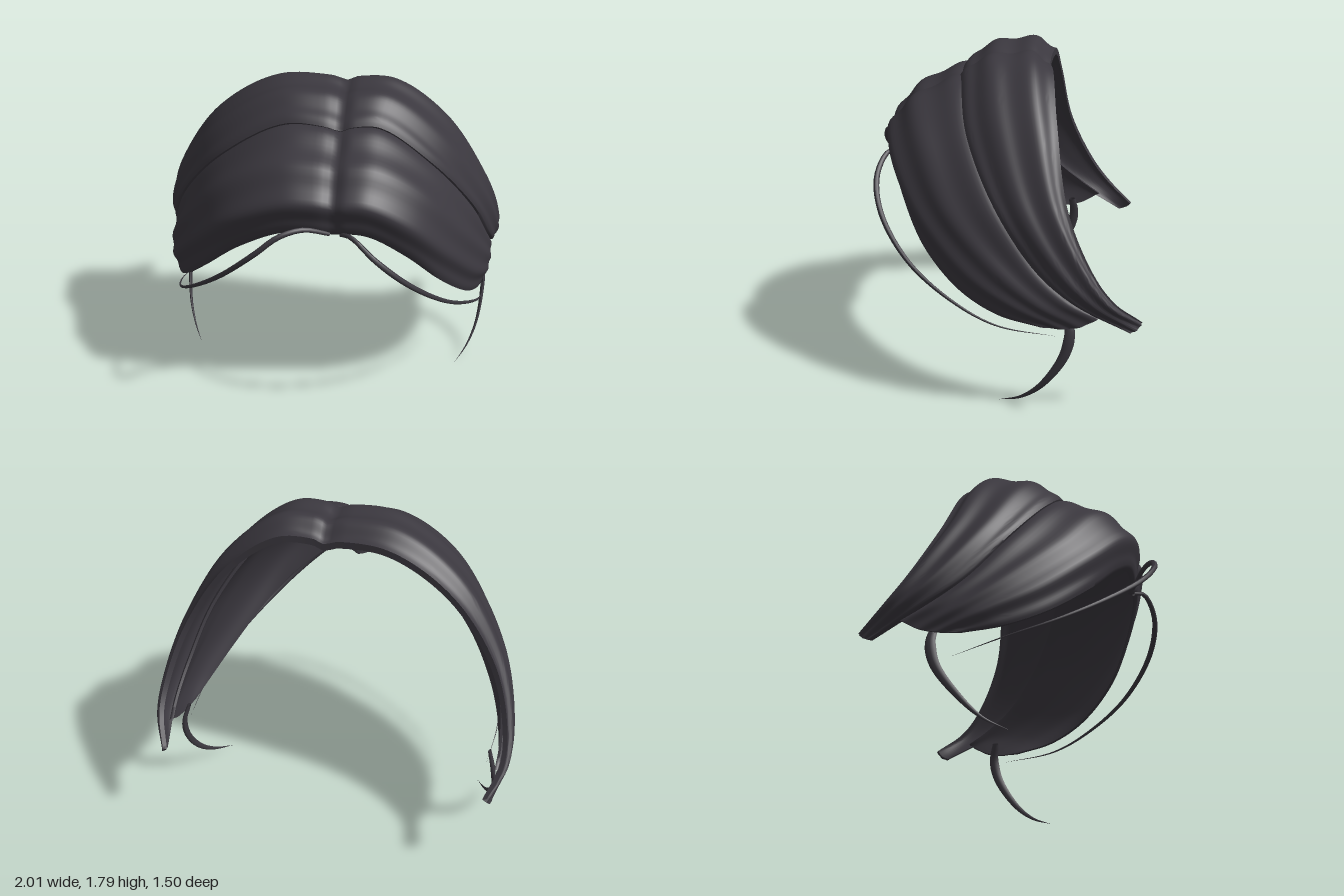
import * as THREE from 'three';
import { toCreasedNormals } from 'three/addons/utils/BufferGeometryUtils.js';

const material = new THREE.MeshStandardMaterial({ color: 0x3b383f, side: THREE.DoubleSide });
const core = new THREE.Vector3(0, 0.6, -0.25);

// Shift the middle of the hair so that the parting lies at x = 0.1
const shiftX = (x) => x + 0.1 * Math.max(0, 1 - Math.abs(x)) ** 2;

// A rail runs over the head from tip to tip; only the +x half is listed
function makeRail(half) {
  const left = half.map(([x, y, z]) => new THREE.Vector3(x, y, z));
  const right = left.slice(1).reverse().map((p) => new THREE.Vector3(-p.x, p.y, p.z));
  return new THREE.CatmullRomCurve3([...right, ...left]);
}

// Closed shell lofted through the rails: rippled outside, smooth inside
function makePanel(name, rails, waves, thickness) {
  const NU = 120, NV = 40, ring = 2 * (NV + 1);
  const curves = rails.map(makeRail);
  const positions = [], index = [];
  for (let i = 0; i <= NU; i++) {
    const t = i / NU, side = Math.abs(2 * t - 1);
    const section = new THREE.CatmullRomCurve3(curves.map((c) => c.getPoint(t)));
    const outer = [], inner = [];
    for (let j = 0; j <= NV; j++) {
      const v = j / NV, p = section.getPoint(v);
      const out = p.clone().sub(core);
      out.x *= 0.8;
      out.normalize();
      const groove = 0.024 * Math.exp(-((p.x / 0.04) ** 2));
      const ripple = 0.01 * Math.sin(v * waves * Math.PI * 2 + 0.6) * (1 - 0.7 * side);
      const depth = thickness * (1 - 0.4 * side);
      p.x = shiftX(p.x);
      outer.push(p.clone().addScaledVector(out, ripple - groove));
      inner.push(p.clone().addScaledVector(out, -depth - groove));
    }
    for (const p of [...outer, ...inner.reverse()]) positions.push(p.x, p.y, p.z);
  }
  for (let i = 0; i < NU; i++) {
    for (let j = 0; j < ring; j++) {
      const k = (j + 1) % ring;
      const a = i * ring + j, b = a + ring, c = i * ring + k, d = c + ring;
      index.push(a, b, c, b, d, c);
    }
  }
  // Close both tips
  for (let j = 0; j < NV; j++) {
    const m = ring - 1 - j, e = NU * ring;
    index.push(j, j + 1, m, j + 1, m - 1, m);
    index.push(e + j, e + m, e + j + 1, e + j + 1, e + m, e + m - 1);
  }
  const geometry = new THREE.BufferGeometry();
  geometry.setAttribute('position', new THREE.Float32BufferAttribute(positions, 3));
  geometry.setIndex(index);
  const mesh = new THREE.Mesh(toCreasedNormals(geometry, 0.9), material);
  mesh.name = name;
  return mesh;
}

// Loose strand: a tube that narrows to a point, flattened along x
function makeStrand(name, points, radius, flat) {
  const N = 48, R = 8;
  const curve = new THREE.CatmullRomCurve3(points.map((p) => new THREE.Vector3(...p)));
  const geometry = new THREE.TubeGeometry(curve, N, radius, R);
  const pos = geometry.attributes.position, p = new THREE.Vector3();
  for (let i = 0; i <= N; i++) {
    const t = i / N, centre = curve.getPointAt(t);
    const taper = Math.max(0.02, Math.min(1, 0.6 + 2 * t) * (1 - t ** 1.4));
    for (let j = 0; j <= R; j++) {
      const k = i * (R + 1) + j;
      p.fromBufferAttribute(pos, k).sub(centre).multiplyScalar(taper);
      p.x *= flat;
      p.add(centre);
      pos.setXYZ(k, p.x, p.y, p.z);
    }
  }
  geometry.computeVertexNormals();
  const mesh = new THREE.Mesh(geometry, material);
  mesh.name = name;
  return mesh;
}

export function createModel() {
  const group = new THREE.Group();
  group.name = 'hairpiece';

  // Front panel, from the forehead edge back to a strip tucked under the back panel
  group.add(makePanel('frontHairPanel', [
    [[0, 1.21, 0.6], [0.22, 1.2, 0.595], [0.45, 1.06, 0.53], [0.65, 0.855, 0.41], [0.8, 0.665, 0.21], [0.88, 0.56, 0], [0.92, 0.515, -0.22]],
    [[0, 1.37, 0.635], [0.22, 1.37, 0.635], [0.47, 1.24, 0.575], [0.69, 1.01, 0.42], [0.86, 0.76, 0.16], [0.935, 0.615, -0.1], [0.94, 0.515, -0.33]],
    [[0, 1.54, 0.49], [0.25, 1.54, 0.48], [0.53, 1.38, 0.41], [0.76, 1.09, 0.26], [0.905, 0.82, 0], [0.955, 0.65, -0.22], [0.95, 0.535, -0.43]],
    [[0, 1.645, 0.25], [0.25, 1.645, 0.23], [0.565, 1.43, 0.17], [0.81, 1.11, 0.02], [0.92, 0.82, -0.19], [0.955, 0.665, -0.37], [0.95, 0.585, -0.52]],
    [[0, 1.65, 0.17], [0.25, 1.65, 0.15], [0.57, 1.44, 0.09], [0.81, 1.12, -0.06], [0.915, 0.83, -0.26], [0.94, 0.68, -0.43], [0.935, 0.6, -0.54]],
  ], 4.5, 0.025));

  // Back panel, overlapping the front one and ending in pointed side tips
  group.add(makePanel('backHairPanel', [
    [[0, 1.645, 0.25], [0.25, 1.65, 0.23], [0.57, 1.435, 0.18], [0.815, 1.12, 0.02], [0.928, 0.82, -0.2], [0.965, 0.66, -0.4], [0.93, 0.5, -0.68]],
    [[0, 1.735, 0.15], [0.27, 1.735, 0.14], [0.6, 1.5, 0.1], [0.86, 1.13, -0.06], [0.97, 0.83, -0.28], [0.985, 0.66, -0.46], [0.93, 0.505, -0.7]],
    [[0, 1.775, 0], [0.3, 1.77, 0], [0.63, 1.54, -0.04], [0.88, 1.15, -0.17], [0.985, 0.83, -0.37], [0.995, 0.66, -0.53], [0.92, 0.52, -0.725]],
    [[0, 1.775, -0.15], [0.32, 1.77, -0.16], [0.64, 1.55, -0.2], [0.89, 1.15, -0.29], [0.985, 0.84, -0.45], [0.99, 0.67, -0.58], [0.91, 0.54, -0.74]],
    [[0, 1.71, -0.235], [0.3, 1.71, -0.26], [0.62, 1.5, -0.29], [0.87, 1.13, -0.355], [0.965, 0.83, -0.49], [0.97, 0.68, -0.6], [0.905, 0.55, -0.745]],
  ], 3, 0.035));

  // Long strands looping out from the parting and along the sides
  group.add(makeStrand('leftFrontStrand', [
    [0.14, 1.2, 0.59], [0.2, 1.22, 0.65], [0.33, 1.12, 0.7], [0.5, 0.96, 0.655],
    [0.7, 0.76, 0.48], [0.85, 0.6, 0.22], [0.91, 0.51, 0], [0.91, 0.46, -0.3]], 0.019, 0.8));
  group.add(makeStrand('rightFrontStrand', [
    [0.08, 1.2, 0.59], [-0.05, 1.255, 0.66], [-0.17, 1.235, 0.715], [-0.29, 1.14, 0.735], [-0.48, 0.96, 0.665],
    [-0.68, 0.76, 0.48], [-0.82, 0.6, 0.25], [-0.87, 0.5, 0], [-0.85, 0.42, -0.27]], 0.019, 0.8));

  // Short strands hanging below the side tips
  group.add(makeStrand('leftSideStrand', [
    [0.89, 0.58, -0.36], [0.92, 0.48, -0.375], [0.925, 0.35, -0.345], [0.9, 0.17, -0.23], [0.85, 0.07, -0.12], [0.78, 0.01, 0]], 0.033, 0.45));
  group.add(makeStrand('rightSideStrand', [
    [-0.87, 0.58, -0.36], [-0.895, 0.48, -0.375], [-0.905, 0.35, -0.345], [-0.885, 0.19, -0.23], [-0.84, 0.09, -0.12], [-0.78, 0.04, 0]], 0.033, 0.45));

  return group;
}
